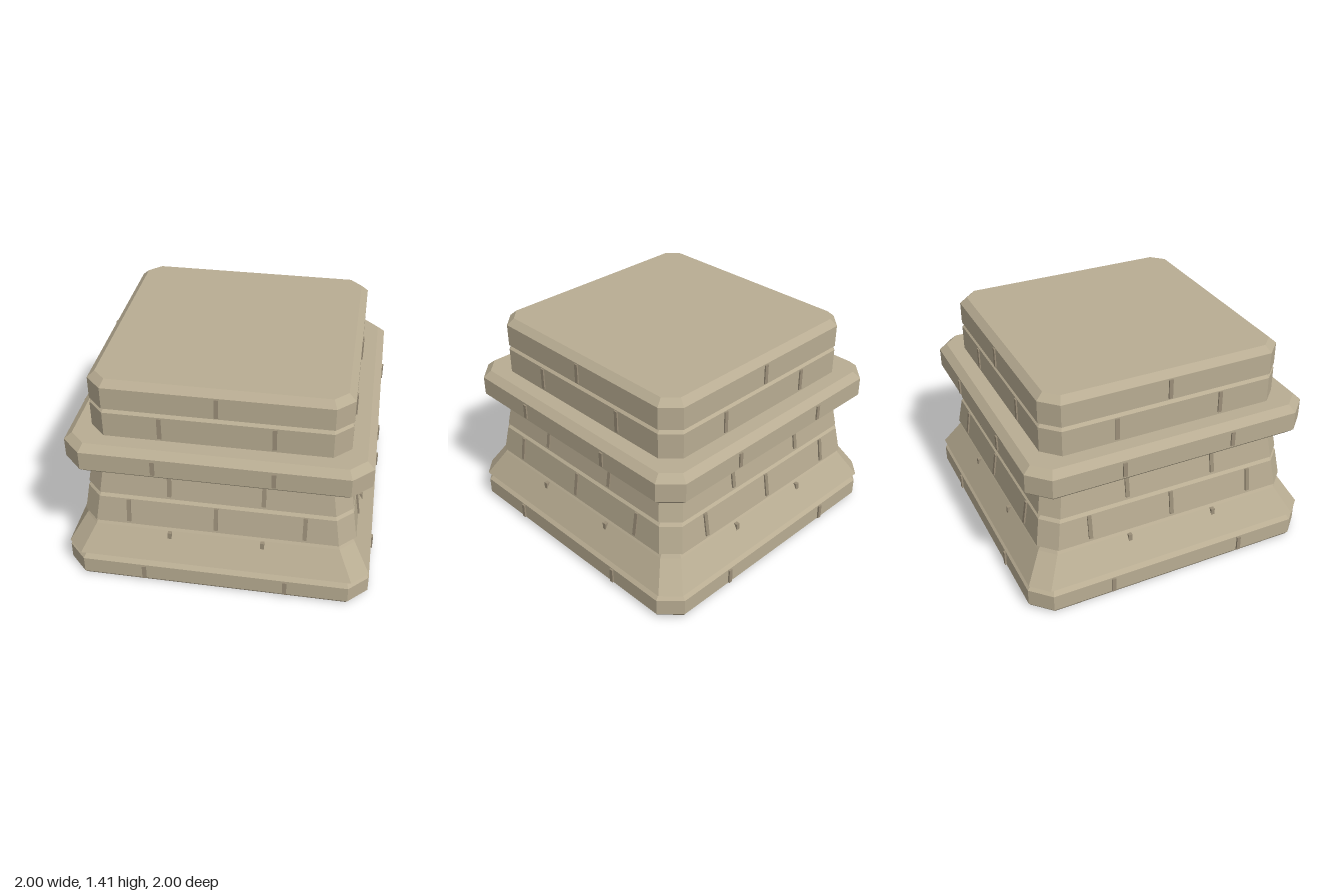
import * as THREE from 'three';

const stone = new THREE.MeshStandardMaterial({ color: 0xb8ac92, flatShading: true });
const mortar = new THREE.MeshStandardMaterial({ color: 0x9a8e78, flatShading: true });

// Square ring with cut corners: half width w, corner cut c, at height y
function ring([y, w, c]) {
  const k = w - c;
  return [[w, -k], [w, k], [k, w], [-k, w], [-w, k], [-w, -k], [-k, -w], [k, -w]]
    .map(([x, z]) => [x, y, z]);
}

// Closed block lofted through the rings, bottom to top
function courseGeometry(profile) {
  const rings = profile.map(ring), pos = [];
  const tri = (a, b, c) => pos.push(...a, ...b, ...c);
  for (let r = 0; r < rings.length - 1; r++) {
    const lo = rings[r], hi = rings[r + 1];
    for (let i = 0; i < 8; i++) {
      const j = (i + 1) % 8;
      tri(lo[i], hi[i], hi[j]);
      tri(lo[i], hi[j], lo[j]);
    }
  }
  const bottom = rings[0], top = rings[rings.length - 1];
  for (let i = 1; i < 7; i++) {
    tri(bottom[0], bottom[i], bottom[i + 1]);
    tri(top[0], top[i + 1], top[i]);
  }
  const g = new THREE.BufferGeometry();
  g.setAttribute('position', new THREE.Float32BufferAttribute(pos, 3));
  g.computeVertexNormals();
  return g;
}

// Each course: profile rows [y, half width, corner cut];
// joints: x positions, height range, outer face at its bottom and top
const courses = [
  { name: 'baseCourse',
    profile: [[0, 0.97, 0.115], [0.025, 0.988, 0.123], [0.135, 0.988, 0.123], [0.183, 0.94, 0.095]],
    joints: { xs: [-0.46, 0.46], y: [0.03, 0.13], out: [1, 1] } },
  { name: 'flaredSkirt',
    profile: [[0.183, 0.985, 0.105], [0.36, 0.878, 0.09], [0.393, 0.855, 0.075]],
    joints: { xs: [-0.3, 0.3], y: [0.22, 0.358], out: [0.908, 0.904] } },
  { name: 'lowerShaftCourse',
    profile: [[0.393, 0.884, 0.102], [0.575, 0.856, 0.1], [0.605, 0.825, 0.082]],
    joints: { xs: [-0.565, 0, 0.565], y: [0.415, 0.573], out: [0.891, 0.867] } },
  { name: 'upperShaftCourse',
    profile: [[0.605, 0.853, 0.102], [0.79, 0.825, 0.1], [0.818, 0.797, 0.082]],
    joints: { xs: [-0.3, 0.3], y: [0.628, 0.785], out: [0.861, 0.837] } },
  { name: 'cornice',
    profile: [[0.818, 0.91, 0.098], [0.86, 0.955, 0.125], [0.985, 0.955, 0.125], [1.027, 0.907, 0.098]],
    joints: { xs: [-0.37, 0.37], y: [0.875, 0.973], out: [0.965, 0.965] } },
  { name: 'lowerTopCourse',
    profile: [[1.027, 0.81, 0.105], [1.195, 0.81, 0.105], [1.225, 0.78, 0.087]],
    joints: { xs: [-0.352, 0.352], y: [1.045, 1.19], out: [0.819, 0.819] } },
  { name: 'capCourse',
    profile: [[1.225, 0.81, 0.105], [1.372, 0.81, 0.105], [1.413, 0.765, 0.08]],
    joints: { xs: [0], y: [1.236, 1.366], out: [0.819, 0.819] } },
];

// Thin upright bar whose outer face leans with the wall
function jointGeometry([y0, y1], [outLow, outHigh]) {
  const depth = 0.05;
  const g = new THREE.BoxGeometry(0.026, y1 - y0, depth);
  const p = g.attributes.position;
  for (let i = 0; i < p.count; i++) {
    const out = p.getY(i) < 0 ? outLow : outHigh;
    p.setZ(i, p.getZ(i) + out - depth / 2);
  }
  g.translate(0, (y0 + y1) / 2, 0);
  g.computeVertexNormals();
  return g;
}

export function createModel() {
  const model = new THREE.Group();
  model.name = 'stonePedestal';
  for (const { name, profile, joints } of courses) {
    const group = new THREE.Group();
    group.name = name;
    const block = new THREE.Mesh(courseGeometry(profile), stone);
    block.name = name + 'Block';
    group.add(block);

    // The same joints on all four sides
    const geo = jointGeometry(joints.y, joints.out);
    for (let side = 0; side < 4; side++) {
      const wall = new THREE.Group();
      wall.name = 'wallJoints';
      wall.rotation.y = side * Math.PI / 2;
      for (const x of joints.xs) {
        const bar = new THREE.Mesh(geo, mortar);
        bar.name = 'joint';
        bar.position.x = x;
        wall.add(bar);
      }
      group.add(wall);
    }
    model.add(group);
  }
  return model;
}
